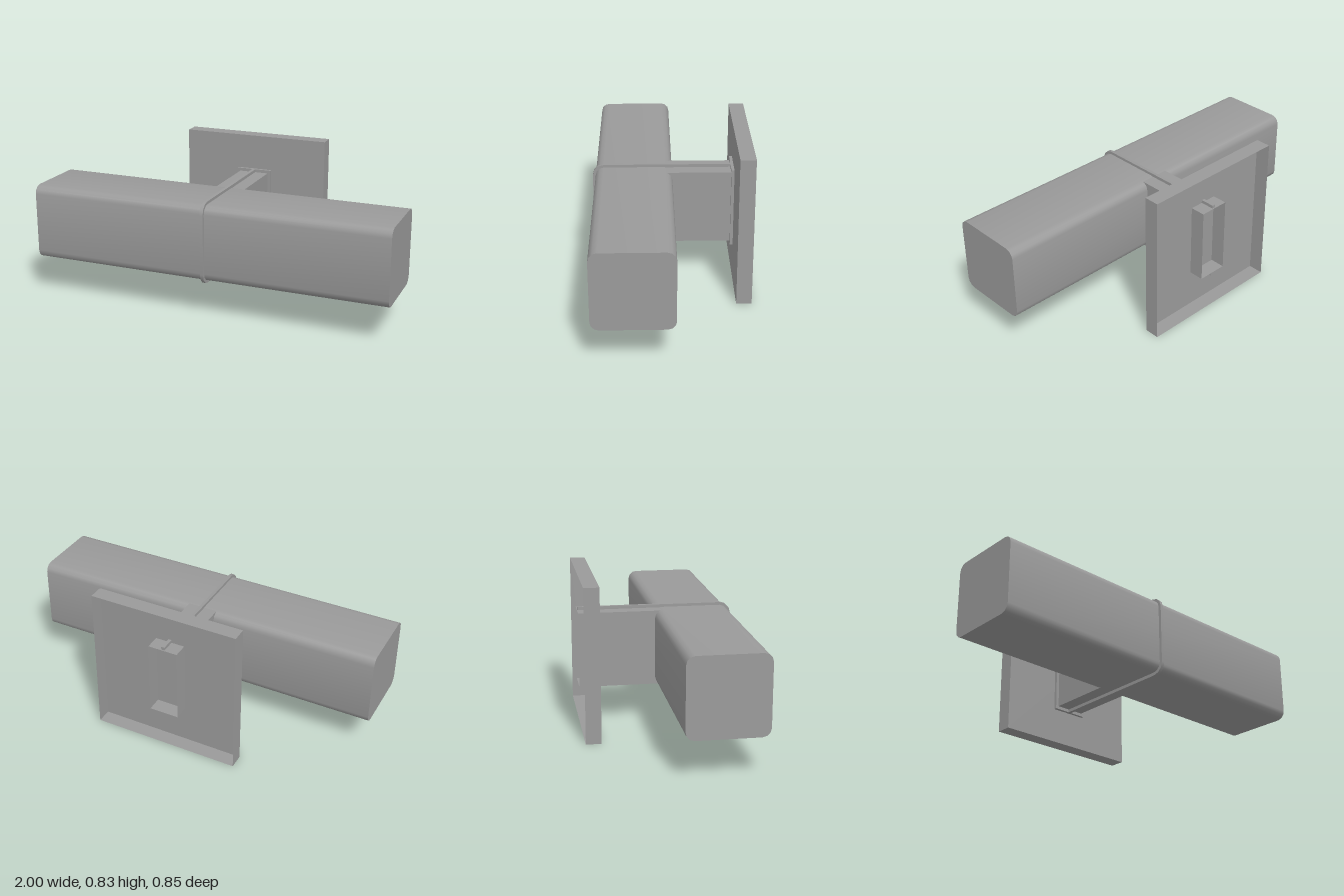
import * as THREE from 'three';
import { toCreasedNormals } from 'three/addons/utils/BufferGeometryUtils.js';

const MID_Y = 0.417;
const COLOR = 0x9a9a9a;
const solid = new THREE.MeshStandardMaterial({ color: COLOR });
const thin = new THREE.MeshStandardMaterial({ color: COLOR, side: THREE.DoubleSide });

// Box without its rear (-z) face, reaching from z0 to z1
function openBox(name, width, height, z0, z1) {
  const geo = new THREE.BoxGeometry(width, height, z1 - z0);
  geo.setIndex(Array.from(geo.index.array).slice(0, 30));
  geo.clearGroups();
  geo.translate(0, MID_Y, (z0 + z1) / 2);
  const mesh = new THREE.Mesh(geo, thin);
  mesh.name = name;
  return mesh;
}

// Extrudes a (z, y) profile along x, centred on x = 0
function extrudeAlongX(name, shape, length) {
  // arcs are split into twice curveSegments: three facets per corner
  let geo = new THREE.ExtrudeGeometry(shape, { depth: length, bevelEnabled: false, curveSegments: 1.5 });
  geo.translate(0, 0, -length / 2);
  geo.rotateY(-Math.PI / 2);
  geo = toCreasedNormals(geo, 0.6);
  const mesh = new THREE.Mesh(geo, solid);
  mesh.name = name;
  return mesh;
}

// Rounded rectangle profile
function roundedRect(z0, z1, y0, y1, r) {
  const s = new THREE.Shape();
  s.moveTo(z0 + r, y0);
  s.lineTo(z1 - r, y0);
  s.absarc(z1 - r, y0 + r, r, -Math.PI / 2, 0);
  s.lineTo(z1, y1 - r);
  s.absarc(z1 - r, y1 - r, r, 0, Math.PI / 2);
  s.lineTo(z0 + r, y1);
  s.absarc(z0 + r, y1 - r, r, Math.PI / 2, Math.PI);
  s.lineTo(z0, y0 + r);
  s.absarc(z0 + r, y0 + r, r, Math.PI, Math.PI * 1.5);
  return s;
}

// U-shaped strap profile, open towards the wall
function strapProfile(back, front, y0, y1, t, r) {
  const c = front - r;
  const s = new THREE.Shape();
  s.moveTo(back, y0);
  s.lineTo(c, y0);
  s.absarc(c, y0 + r, r, -Math.PI / 2, 0);
  s.lineTo(front, y1 - r);
  s.absarc(c, y1 - r, r, 0, Math.PI / 2);
  s.lineTo(back, y1);
  s.lineTo(back, y1 - t);
  s.lineTo(c, y1 - t);
  s.absarc(c, y1 - r, r - t, Math.PI / 2, 0, true);
  s.lineTo(front - t, y0 + r);
  s.absarc(c, y0 + r, r - t, 0, -Math.PI / 2, true);
  s.lineTo(back, y0 + t);
  return s;
}

export function createModel() {
  const model = new THREE.Group();
  model.name = 'wallLight';

  // Hollow wall plate, collar and supporting arm running into the shade
  model.add(openBox('wallPlate', 0.83, 0.834, -0.425, -0.342));
  model.add(openBox('collar', 0.2, 0.447, -0.342, -0.326));
  model.add(openBox('arm', 0.166, 0.413, -0.425, 0.355));

  // Long rounded shade
  model.add(extrudeAlongX('shade', roundedRect(-0.008, 0.409, 0.21, 0.626, 0.045), 2));

  // Thin strap around arm and shade
  model.add(extrudeAlongX('strap', strapProfile(-0.42, 0.425, 0.193, 0.641, 0.017, 0.061), 0.018));

  return model;
}
